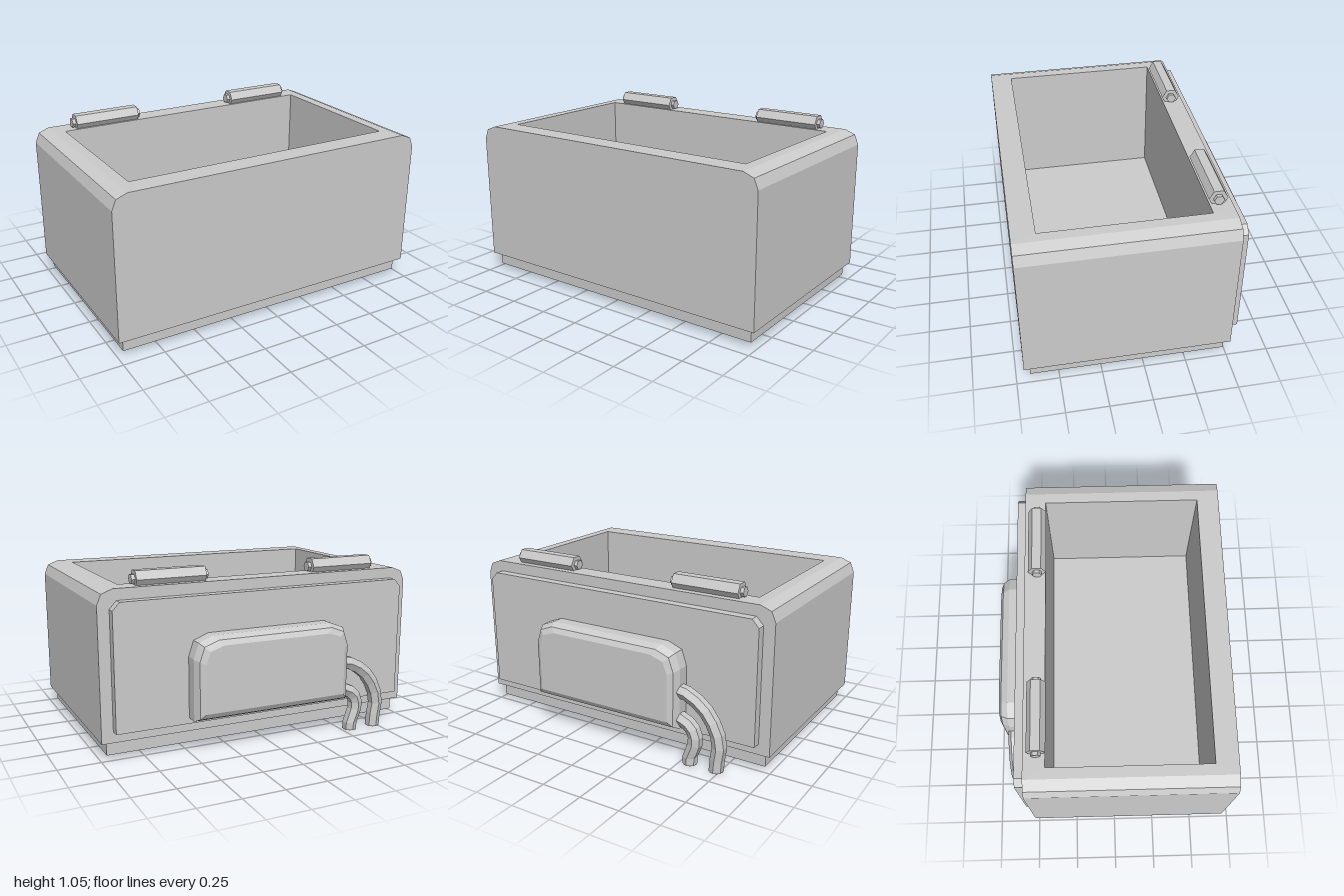
import * as THREE from 'three';

const material = new THREE.MeshStandardMaterial({ color: 0xcccccc, flatShading: true, side: THREE.DoubleSide });

function add(group, name, geometry, x = 0, y = 0, z = 0) {
  const mesh = new THREE.Mesh(geometry, material);
  mesh.name = name;
  mesh.position.set(x, y, z);
  group.add(mesh);
  return mesh;
}

// Counter-clockwise outline, symmetric in x, from its right half (bottom to top)
const mirrored = (half) => [...half, ...half.map(([x, y]) => [-x, y]).reverse()];
const toShape = (points) => new THREE.Shape(points.map(([x, y]) => new THREE.Vector2(x, y)));

// Rectangle in (x, z), drawn with shape y = sign * z
const rect = (x, z0, z1, sign) => [[-x, z0 * sign], [x, z0 * sign], [x, z1 * sign], [-x, z1 * sign]];

// Flat-shaded skin between cross-sections ordered from back to front
function skin(rings, closed) {
  const pos = [];
  for (let i = 0; i < rings.length - 1; i++) {
    const n = rings[i].length;
    for (let j = 0; j < (closed ? n : n - 1); j++) {
      const k = (j + 1) % n;
      const a = rings[i][j], b = rings[i][k], c = rings[i + 1][k], d = rings[i + 1][j];
      pos.push(...a, ...b, ...c, ...a, ...c, ...d);
    }
  }
  const g = new THREE.BufferGeometry();
  g.setAttribute('position', new THREE.Float32BufferAttribute(pos, 3));
  g.computeVertexNormals();
  return g;
}

// Box given by its limits, without its top and, if asked, its bottom
function openBox(x, y0, y1, z0, z1, hasBottom) {
  const g = new THREE.BoxGeometry(2 * x, y1 - y0, z1 - z0);
  const index = Array.from(g.index.array);
  index.splice(12, hasBottom ? 6 : 12);
  g.setIndex(index);
  g.clearGroups();
  return g.translate(0, (y0 + y1) / 2, (z0 + z1) / 2);
}

function createBody() {
  const body = new THREE.Group();
  body.name = 'body';
  const back = -0.518, front = 0.703;
  const half = [[1, 0.11], [1, 0.89], [0.975, 0.95], [0.91, 0.975]];
  const outline = mirrored(half);

  add(body, 'frontFace', new THREE.ShapeGeometry(toShape(outline)), 0, 0, front);
  add(body, 'backFace', new THREE.ShapeGeometry(toShape(outline)).rotateY(Math.PI), 0, 0, back);
  for (const [name, points] of [['leftSide', outline.slice(0, 4)], ['rightSide', outline.slice(4)]]) {
    add(body, name, skin([back, front].map((z) => points.map(([x, y]) => [x, y, z])), false));
  }

  // Rim around the opening, and ledge around the base
  const rim = toShape(rect(0.91, front, back, -1));
  rim.holes.push(toShape(rect(0.845, 0.568, -0.39, -1)));
  add(body, 'topRim', new THREE.ShapeGeometry(rim).rotateX(-Math.PI / 2), 0, 0.975, 0);
  const ledge = toShape(rect(1, back, front, 1));
  ledge.holes.push(toShape(rect(0.965, -0.487, 0.668, 1)));
  add(body, 'bottomLedge', new THREE.ShapeGeometry(ledge).rotateX(Math.PI / 2), 0, 0.11, 0);

  // Thin basin hanging inside, its floor showing through the hollow base
  add(body, 'cavity', openBox(0.845, 0.2, 0.975, -0.39, 0.568, true));
  add(body, 'baseSkirt', openBox(0.965, 0.03, 0.3, -0.487, 0.668, false));
  return body;
}

// Bevelled housing on the back panel
function createHousing() {
  const housing = new THREE.Group();
  housing.name = 'housing';
  const outline = mirrored([[0.5, 0.21], [0.5, 0.57], [0.47, 0.66], [0.38, 0.695]]);
  const cy = 0.4525, hy = 0.2425;
  const inset = (d) => outline.map(([x, y]) => [x * (1 - d / 0.5), cy + (y - cy) * (1 - d / hy)]);
  const steps = [[-0.703, 0.05], [-0.686, 0.02], [-0.645, 0], [-0.573, 0]];
  add(housing, 'housingShell', skin(steps.map(([z, d]) => inset(d).map(([x, y]) => [x, y, z])), true));
  add(housing, 'housingCover', new THREE.ShapeGeometry(toShape(inset(0.05))).rotateY(Math.PI), 0, 0, -0.703);
  return housing;
}

// Six-sided hose, bending out of the housing and ending straight down on the ground
function createHose(name, points) {
  const hose = new THREE.Group();
  hose.name = name;
  const [x, y] = points[points.length - 1];
  const path = new THREE.CurvePath();
  const bend = new THREE.CatmullRomCurve3(points.map(([px, py]) => new THREE.Vector3(px, py, -0.623)));
  path.add(bend);
  path.add(new THREE.LineCurve3(new THREE.Vector3(x, y, -0.623), new THREE.Vector3(x, 0, -0.623)));
  add(hose, 'hoseTube', new THREE.TubeGeometry(path, 8, 0.043, 6, false));
  add(hose, 'hoseEnd', new THREE.CircleGeometry(0.043, 6).rotateX(Math.PI / 2), x, 0, -0.623);
  return hose;
}

export function createModel() {
  const model = new THREE.Group();
  model.name = 'openContainer';
  model.add(createBody());

  // Back panel with clipped upper corners
  const panel = toShape(mirrored([[0.932, 0.175], [0.932, 0.865], [0.89, 0.91]]));
  add(model, 'backPanel', new THREE.ExtrudeGeometry(panel, { depth: 0.055, bevelEnabled: false }), 0, 0, -0.573);

  model.add(createHousing());
  model.add(createHose('outerHose', [[-0.46, 0.44], [-0.54, 0.425], [-0.65, 0.355], [-0.725, 0.24], [-0.745, 0.14], [-0.728, 0.05]]));
  model.add(createHose('innerHose', [[-0.46, 0.27], [-0.53, 0.255], [-0.585, 0.2], [-0.59, 0.13], [-0.558, 0.05]]));

  // Hinge barrels with pins along the back rim
  for (const [side, x] of [['left', 0.5575], ['right', -0.5575]]) {
    for (const [part, radius, length] of [['HingeBarrel', 0.055, 0.415], ['HingePin', 0.03, 0.457]]) {
      const g = new THREE.CylinderGeometry(radius, radius, length, 6).rotateZ(Math.PI / 2);
      add(model, side + part, g, x, 1.007, -0.44);
    }
  }
  return model;
}
